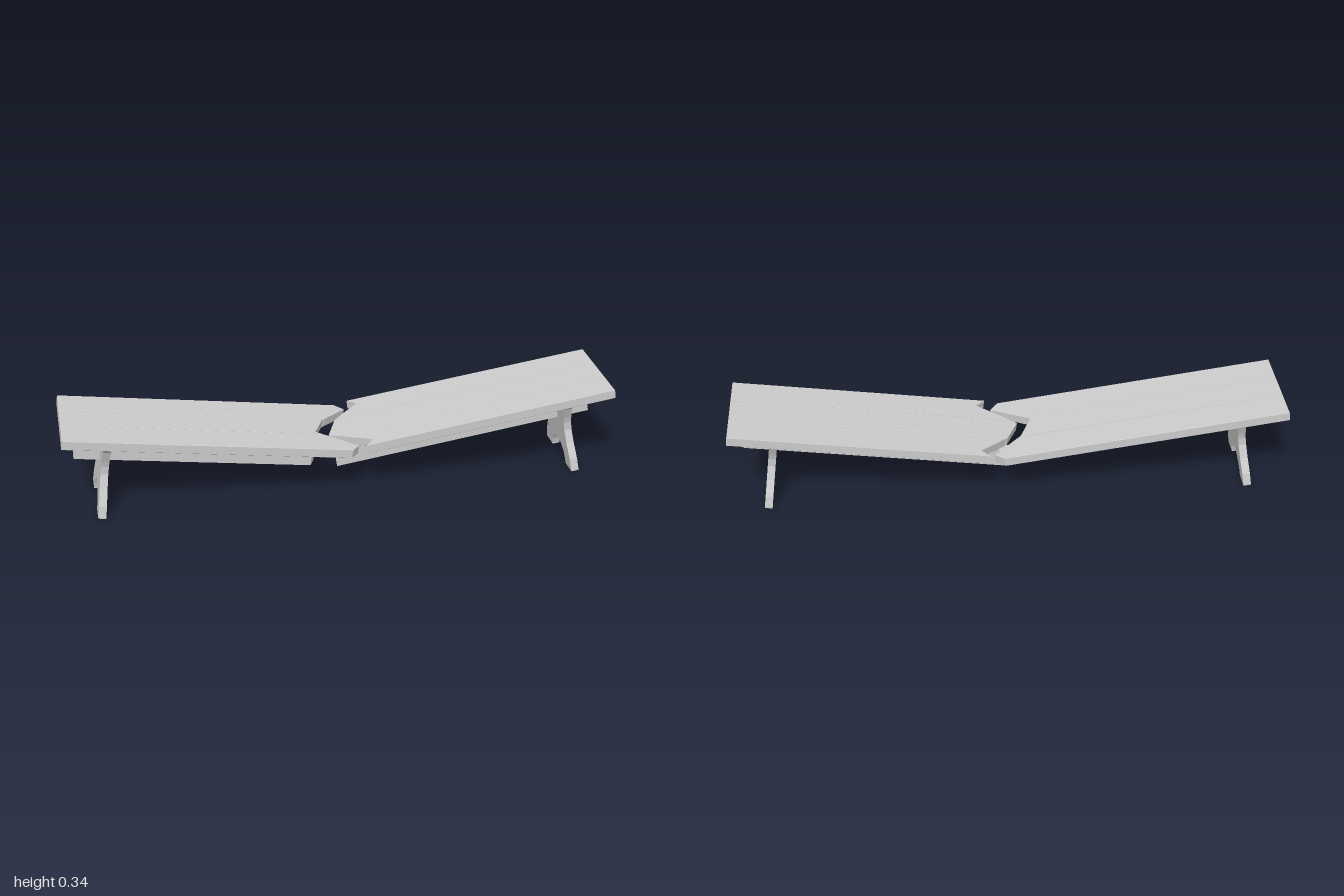
import * as THREE from 'three';

const TILT = THREE.MathUtils.degToRad(8);
const COS = Math.cos(TILT);
const material = new THREE.MeshStandardMaterial({ color: 0xcccccc, flatShading: true });

// Jagged break across the seat, as [x, z] from back to front
const BREAK_LEFT = [[0.024, -0.179], [0.056, -0.147], [-0.045, -0.053], [-0.088, 0.045], [0.053, 0.143], [0.024, 0.179]];
const BREAK_RIGHT = [[0.072, -0.179], [0.104, -0.147], [0.002, -0.055], [-0.04, 0.045], [0.104, 0.143], [0.072, 0.179]];

// Half outline of a leg: [half width, height below the seat], top to arch crown
const LEG = [[0.145, 0], [0.145, -0.012], [0.12, -0.037], [0.101, -0.083], [0.0945, -0.106], [0.0935, -0.137],
  [0.109, -0.187], [0.137, -0.243], [0.145, -0.283], [0.145, -0.288],
  [0.0765, -0.288], [0.0765, -0.283], [0.071, -0.262], [0.062, -0.245], [0.037, -0.222], [0, -0.213]];

function mesh(name, geometry) {
  const m = new THREE.Mesh(geometry, material);
  m.name = name;
  return m;
}

// Flat board from an [x, z] outline, lying between two heights
function board(name, outline, bottom, top, bevel) {
  const shape = new THREE.Shape(outline.map(([x, z]) => new THREE.Vector2(x, -z)));
  const geometry = new THREE.ExtrudeGeometry(shape, {
    depth: top - bottom - 2 * bevel, bevelEnabled: bevel > 0, bevelSize: bevel,
    bevelThickness: bevel, bevelOffset: -bevel, bevelSegments: 1,
  });
  geometry.rotateX(-Math.PI / 2).translate(0, bottom + bevel, 0);
  return mesh(name, geometry);
}

// x of the break line at a given z
function breakAt(line, z) {
  const i = Math.max(1, line.findIndex((p) => p[1] >= z));
  const [x0, z0] = line[i - 1], [x1, z1] = line[i];
  return x0 + (x1 - x0) * (z - z0) / (z1 - z0);
}

// One half of the bench; side is +1 for the model's left (+x), -1 for its right.
// Local origin is the bottom outer edge of the seat, local x runs along the seat.
function benchHalf(name, side, breakLine, beamBack, beamFront) {
  const half = new THREE.Group();
  half.name = name;
  const line = breakLine.map(([x, z]) => [(x - side * 0.9953) / COS, z]);

  // Three seat planks with narrow gaps, each ending on the break line
  [[-0.179, -0.0615], [-0.0585, 0.0585], [0.0615, 0.179]].forEach(([z0, z1], i) => {
    const inner = line.filter((p) => p[1] > z0 && p[1] < z1);
    const outline = [[0, z0], [breakAt(line, z0), z0], ...inner, [breakAt(line, z1), z1], [0, z1]];
    half.add(board(['backPlank', 'middlePlank', 'frontPlank'][i], outline, 0, 0.034, 0.0015));
  });

  // Trestle leg with waisted sides and an arched foot
  const outline = [...LEG, ...LEG.slice(0, -1).reverse().map(([w, y]) => [-w, y])];
  const leg = new THREE.ExtrudeGeometry(
    new THREE.Shape(outline.map(([w, y]) => new THREE.Vector2(w, y))), { depth: 0.028, bevelEnabled: false });
  leg.translate(0, 0, -0.014).rotateY(Math.PI / 2).translate(-side * 0.163, 0, 0.0015);
  half.add(mesh('leg', leg));

  // Stretcher beam through the leg, snapped off at a slant
  const beam = [[0.058, -0.0165], [beamBack, -0.0165], [beamFront, 0.0205], [0.058, 0.0205]];
  half.add(board('stretcher', beam.map(([u, z]) => [-side * u, z]), -0.118, -0.051, 0));

  half.position.set(side, 0.31, 0);
  half.rotation.z = side * TILT;
  return half;
}

export function createModel() {
  const bench = new THREE.Group();
  bench.name = 'brokenBench';
  bench.add(benchHalf('rightHalf', -1, BREAK_LEFT, 0.939, 0.922));
  bench.add(benchHalf('leftHalf', 1, BREAK_RIGHT, 1.013, 1.03));
  return bench;
}
